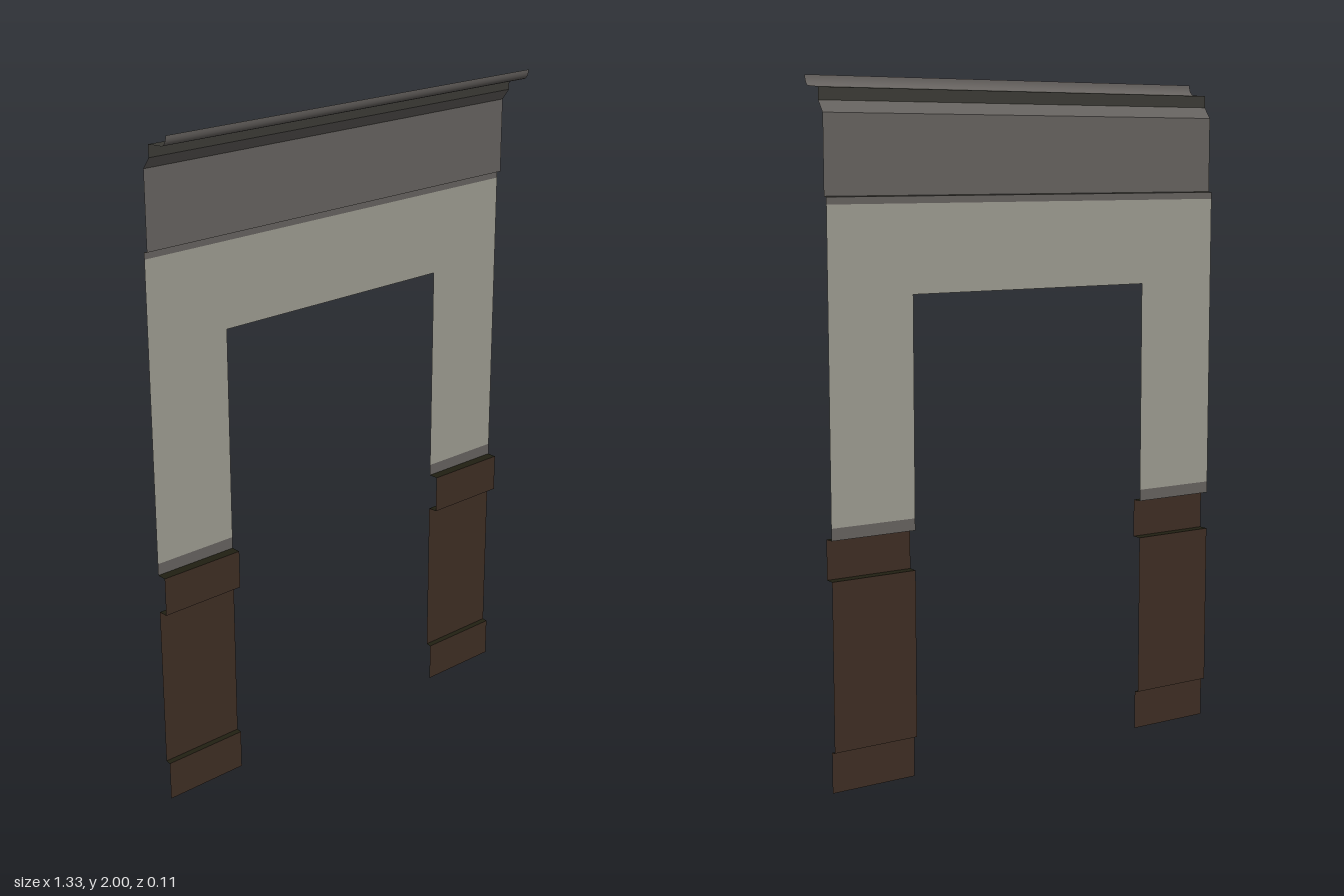
import * as THREE from 'three';

const material = (name, color) => {
  const m = new THREE.MeshStandardMaterial({ color, side: THREE.DoubleSide });
  m.name = name;
  return m;
};

// Open sheet: a profile of [z, y] points, bottom to top, swept from x0 to x1
function strip(name, mat, x0, x1, profile) {
  const pos = [], index = [];
  profile.forEach(([z, y], i) => {
    pos.push(x0, y, z, x1, y, z);
    if (i) {
      const a = 2 * (i - 1);
      index.push(a, a + 1, a + 3, a, a + 3, a + 2);
    }
  });
  const g = new THREE.BufferGeometry();
  g.setAttribute('position', new THREE.Float32BufferAttribute(pos, 3));
  g.setIndex(index);
  g.computeVertexNormals();
  const mesh = new THREE.Mesh(g, mat);
  mesh.name = name;
  return mesh;
}

export function createModel() {
  const plaster = material('plaster', 0x9b9a8f);
  const greyTrim = material('grey trim', 0x65615e);
  const darkTrim = material('dark trim', 0x3b3a35);
  const brownWood = material('brown wood', 0x3d2d23);
  const darkWood = material('dark wood', 0x201f12);

  const W = 0.667, D = 0.4;       // half widths of wall and doorway
  const back = -0.058, band = -0.045, rail = -0.028, base = -0.042;
  const model = new THREE.Group();
  model.name = 'doorwayWall';

  // Plaster wall around the doorway
  const outline = new THREE.Shape([
    [-W, 0.765], [-D, 0.765], [-D, 1.4], [D, 1.4],
    [D, 0.765], [W, 0.765], [W, 1.652], [-W, 1.652],
  ].map(([x, y]) => new THREE.Vector2(x, y)));
  const wall = new THREE.Mesh(new THREE.ShapeGeometry(outline), plaster);
  wall.name = 'wall';
  wall.position.z = back;
  model.add(wall);

  // Frieze and crown moulding across the top
  const across = (name, mat, profile) => model.add(strip(name, mat, -W, W, profile));
  across('friezeFoot', greyTrim, [[back, 1.652], [back, 1.672]]);
  across('friezeLedge', darkTrim, [[back, 1.672], [band, 1.674]]);
  across('frieze', greyTrim, [[band, 1.674], [band, 1.897]]);
  across('crownSlope', greyTrim, [[band, 1.897], [-0.02, 1.93]]);
  across('crownFace', darkTrim, [[-0.02, 1.93], [-0.02, 1.965]]);
  across('crownSoffit', darkTrim, [[-0.02, 1.965], [0.035, 1.969]]);
  const lip = [];
  for (let i = 0; i <= 6; i++) {
    const a = (i / 6) * Math.PI / 2;
    lip.push([0.035 + 0.022 * Math.sin(a), 2 - 0.031 * Math.cos(a)]);
  }
  across('crownLip', greyTrim, lip);

  // Wainscot on each side of the doorway
  for (const [side, x0, x1] of [['right', -W, -D], ['left', D, W]]) {
    const wainscot = new THREE.Group();
    wainscot.name = side + 'Wainscot';
    const add = (name, mat, profile) => wainscot.add(strip(name, mat, x0, x1, profile));
    add('skirting', brownWood, [[base, 0], [base, 0.12]]);
    add('skirtingLedge', darkWood, [[base, 0.12], [back, 0.122]]);
    add('panel', brownWood, [[back, 0.122], [back, 0.614]]);
    add('railUnderside', darkWood, [[back, 0.614], [rail, 0.614]]);
    add('rail', brownWood, [[rail, 0.614], [rail, 0.73]]);
    add('railTop', darkWood, [[rail, 0.73], [back, 0.73]]);
    add('wallFoot', greyTrim, [[back, 0.73], [back, 0.765]]);
    model.add(wainscot);
  }
  return model;
}
